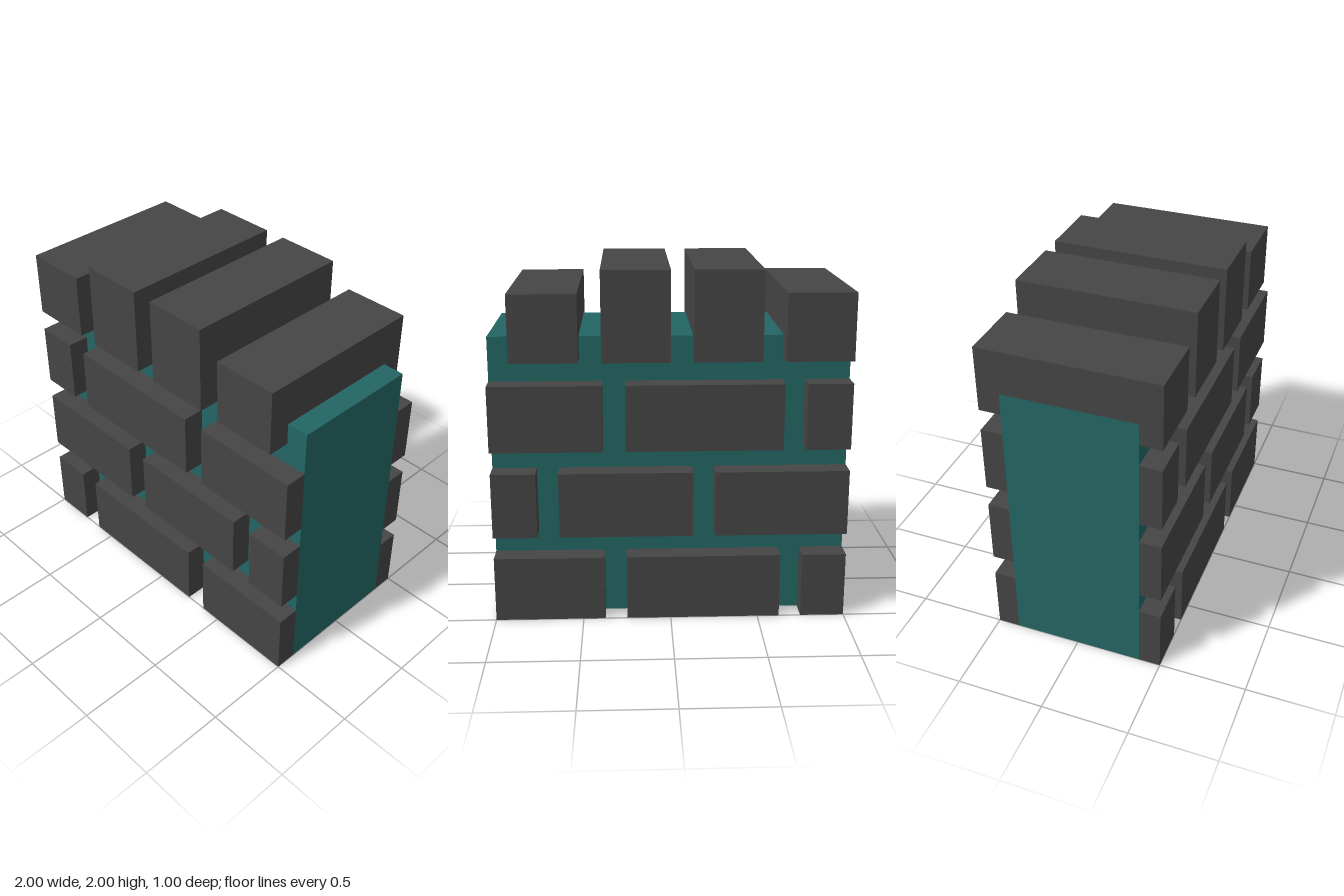
import * as THREE from 'three';

export function createModel() {
  const model = new THREE.Group();
  model.name = 'brickWall';

  const mortar = new THREE.MeshStandardMaterial({ color: 0x236664 });
  mortar.name = 'tealMortar';
  const brick = new THREE.MeshStandardMaterial({ color: 0x454545 });
  brick.name = 'darkBrick';

  // Box given by its limits on each axis
  function block(name, material, [x0, x1], [y0, y1], [z0, z1]) {
    const mesh = new THREE.Mesh(new THREE.BoxGeometry(x1 - x0, y1 - y0, z1 - z0), material);
    mesh.position.set((x0 + x1) / 2, (y0 + y1) / 2, (z0 + z1) / 2);
    mesh.name = name;
    model.add(mesh);
  }

  // Mortar core
  block('mortarCore', mortar, [-1, 1], [0, 1.625], [-0.375, 0.375]);

  // Staggered courses of facing bricks, on the front and the back
  const wide = [[-1, -0.75], [-0.625, 0.25], [0.375, 1]];
  const offset = [[-1, -0.25], [-0.125, 0.625], [0.75, 1]];
  [wide, offset, wide].forEach((course, row) => {
    const y = row * 0.5;
    for (const span of course) {
      block('frontBrick', brick, span, [y, y + 0.375], [0.375, 0.5]);
      block('backBrick', brick, span, [y, y + 0.375], [-0.5, -0.375]);
    }
  });

  // Upright capping bricks through the full depth; the first sits a hair inside the core's end
  [[-0.999, 1.875], [-0.5, 2], [0, 2], [0.5, 1.875]].forEach(([x, top]) => {
    block('cappingBrick', brick, [x, Math.round(x * 8) / 8 + 0.375], [1.5, top], [-0.5, 0.5]);
  });

  return model;
}
